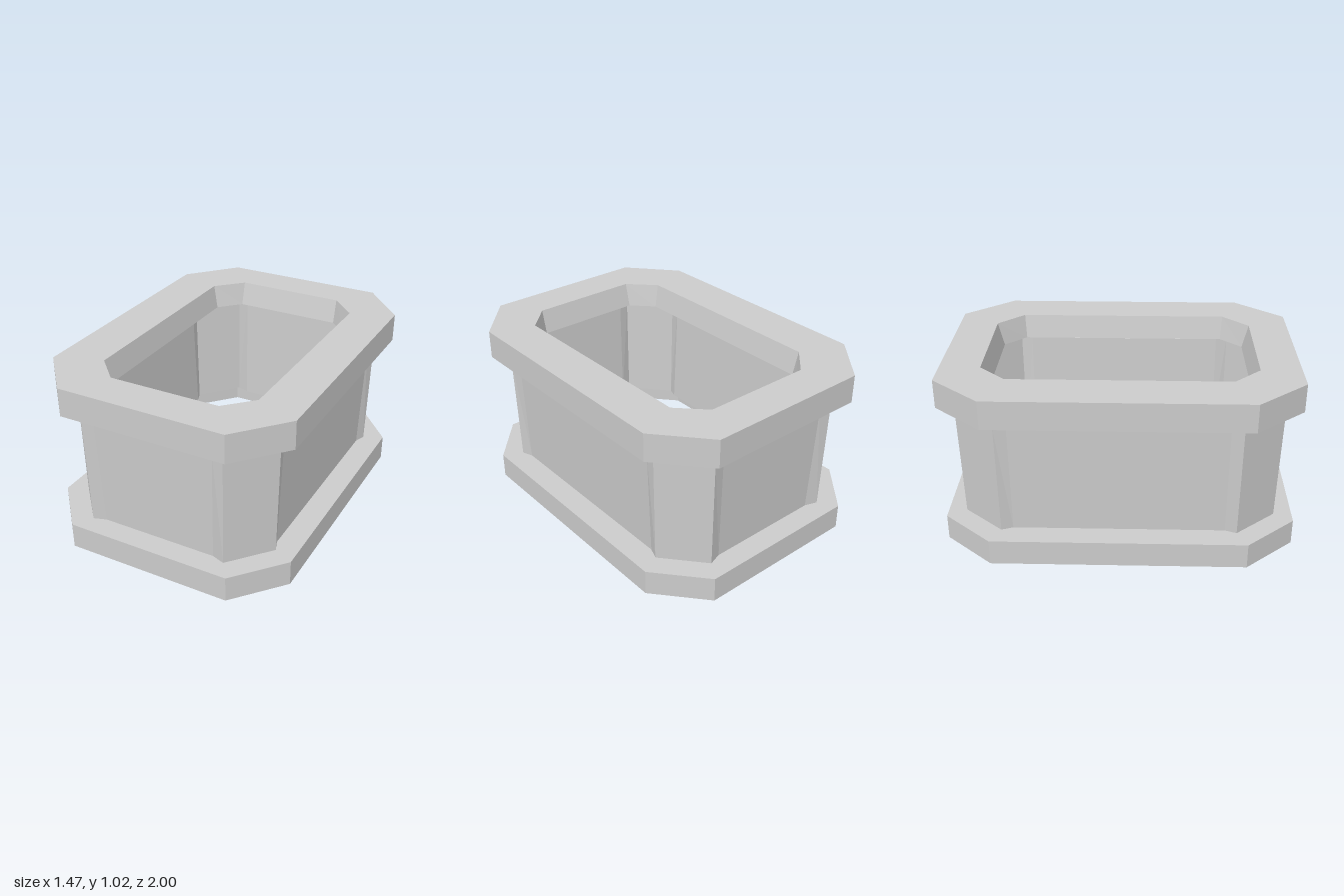
import * as THREE from 'three';

// Chamfered rectangle at height y: half sizes hx, hz; flat sides end at cx, cz.
// The middle of each side (up to ix, iz) is recessed by depth.
function ring(y, hx, hz, cx, cz, { ix = 0.35, iz = 0.6, depth = 0, dx = 0 } = {}) {
  const half = [
    [hx, -cz], [hx - depth, -Math.min(iz, cz - 0.01)], [hx - depth, Math.min(iz, cz - 0.01)], [hx, cz],
    [cx, hz], [Math.min(ix, cx - 0.01), hz - depth], [-Math.min(ix, cx - 0.01), hz - depth], [-cx, hz],
  ];
  return [...half, ...half.map(([x, z]) => [-x, -z])].map(([x, z]) => [x + dx, y, z]);
}

// Joins consecutive rings with flat faces
function loft(name, rings) {
  const pos = [];
  for (let r = 0; r < rings.length - 1; r++) {
    const lo = rings[r], hi = rings[r + 1], n = lo.length;
    for (let i = 0; i < n; i++) {
      const j = (i + 1) % n;
      pos.push(...lo[i], ...hi[i], ...hi[j], ...lo[i], ...hi[j], ...lo[j]);
    }
  }
  const geo = new THREE.BufferGeometry();
  geo.setAttribute('position', new THREE.Float32BufferAttribute(pos, 3));
  geo.computeVertexNormals();
  const mesh = new THREE.Mesh(geo, new THREE.MeshStandardMaterial({
    color: 0xcccccc, flatShading: true, side: THREE.DoubleSide,
  }));
  mesh.name = name;
  return mesh;
}

export function createModel() {
  const group = new THREE.Group();
  group.name = 'hollowPlinth';

  const outer = (y) => ring(y, 0.735, 1, 0.49, 0.72);
  const wallBottom = ring(0.15, 0.62, 0.895, 0.42, 0.665, { ix: 0.345, depth: 0.025 });
  const wallTop = ring(0.81, 0.635, 0.91, 0.43, 0.67, { ix: 0.36, depth: 0.015 });

  // Base: open skirt with a flat ledge reaching in to the wall
  group.add(loft('baseFlange', [outer(0), outer(0.15), wallBottom]));

  // Thin wall, slightly flared, with shallow recessed panels
  group.add(loft('wall', [wallBottom, wallTop]));

  // Rim: bevel out, band, flat top and a sloped lip around the opening
  group.add(loft('topRim', [
    wallTop,
    outer(0.855),
    outer(1.02),
    ring(1.02, 0.473, 0.77, 0.325, 0.62, { dx: 0.008 }),
    ring(0.88, 0.445, 0.735, 0.325, 0.61, { dx: 0.008 }),
  ]));

  return group;
}
